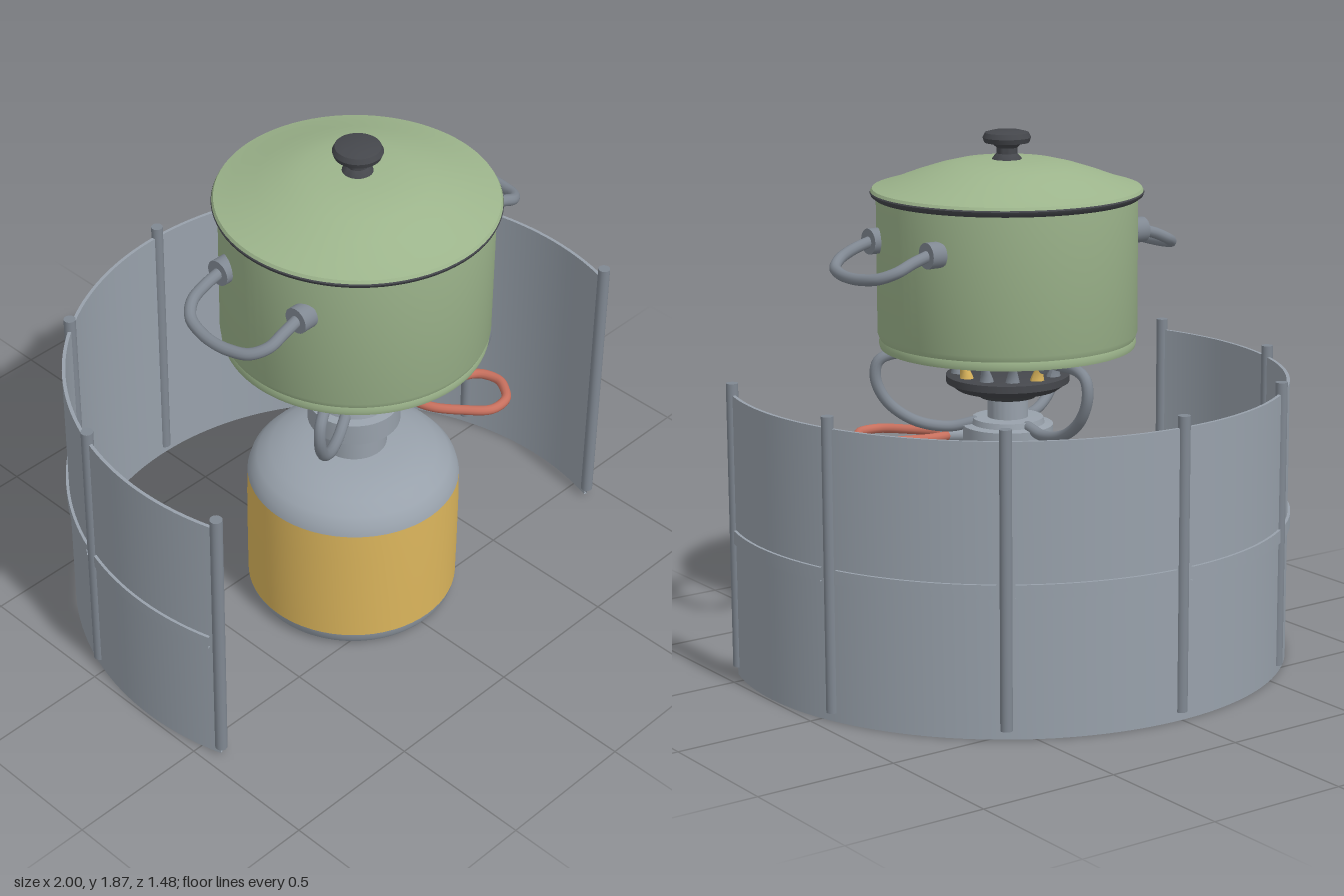
import * as THREE from 'three';
import { toCreasedNormals } from 'three/addons/utils/BufferGeometryUtils.js';

function mat(name, color, side = THREE.FrontSide) {
  const m = new THREE.MeshStandardMaterial({ color, side });
  m.name = name;
  return m;
}

export function createModel() {
  const steel = mat('steel', 0x98a1ab, THREE.DoubleSide);
  const darkSteel = mat('dark steel', 0x808892);
  const green = mat('green enamel', 0x9db58c);
  const black = mat('black', 0x45474c);
  const yellow = mat('yellow', 0xdbb55c);
  const red = mat('red wire', 0xc7705e);

  const model = new THREE.Group();
  model.name = 'campStove';
  // Everything is arranged around the burner axis
  const axis = new THREE.Group();
  axis.name = 'stoveAssembly';
  axis.position.z = 0.265;
  model.add(axis);

  const add = (name, geometry, material, parent = axis) => {
    const mesh = new THREE.Mesh(geometry, material);
    mesh.name = name;
    parent.add(mesh);
    return mesh;
  };
  // Turned part from [radius, height] pairs, listed bottom to top
  const turned = (name, pts, material, start = 0, length = Math.PI * 2, segments = 64) =>
    add(name, toCreasedNormals(new THREE.LatheGeometry(
      pts.map(([r, y]) => new THREE.Vector2(r, y)), segments, start, length), 0.6), material);
  const wire = (name, pts, radius, material, parent, closed = false) => {
    const path = pts.map(p => new THREE.Vector3(...p));
    const curve = new THREE.CatmullRomCurve3(path, closed);
    add(name, new THREE.TubeGeometry(curve, 56, radius, 12, closed), material, parent);
    // Rounded wire ends
    if (!closed) for (const p of [path[0], path[path.length - 1]]) {
      add(name + 'End', new THREE.SphereGeometry(radius, 12, 8), material, parent).position.copy(p);
    }
  };

  // Gas canister
  turned('canisterBase', [[0, 0.012], [0.31, 0.012], [0.325, 0], [0.35, 0.008], [0.364, 0.03], [0.37, 0.055]], steel);
  turned('canisterBody', [[0.37, 0.055], [0.371, 0.2], [0.371, 0.4], [0.369, 0.51]], yellow);
  turned('canisterShoulder', [[0.369, 0.51], [0.36, 0.54], [0.335, 0.57], [0.29, 0.6],
    [0.23, 0.623], [0.17, 0.636], [0.11, 0.642]], steel);

  // Valve, stem and burner head
  turned('canisterNeck', [[0.115, 0.63], [0.115, 0.72], [0.1, 0.73]], steel);
  turned('valveBody', [[0, 0.72], [0.13, 0.72], [0.14, 0.74], [0.16, 0.745], [0.16, 0.825],
    [0.13, 0.83], [0.125, 0.85], [0, 0.855]], steel);
  turned('burnerStem', [[0.072, 0.84], [0.072, 0.94]], steel);
  turned('burnerHead', [[0, 0.925], [0.1, 0.925], [0.12, 0.945], [0.18, 0.955], [0.2, 0.97],
    [0.217, 0.98], [0.217, 1.005], [0.2, 1.012], [0, 1.005]], black);

  // Ring of flames, leaning outwards, every third one yellow
  for (let i = 0; i < 12; i++) {
    const flame = new THREE.ConeGeometry(0.027, 0.105, 10, 6);
    const p = flame.attributes.position;
    for (let k = 0; k < p.count; k++) {
      const t = p.getY(k) / 0.105 + 0.5;
      p.setX(k, p.getX(k) + 0.06 * t * t + 0.175);
      p.setY(k, p.getY(k) + 1.056);
    }
    flame.computeVertexNormals();
    add('flame', flame, i % 3 === 0 ? yellow : darkSteel).rotation.y = i * Math.PI / 6;
  }

  // Three bent pot supports
  for (const deg of [-30, -150, 90]) {
    const arm = new THREE.Group();
    arm.name = 'potSupport';
    arm.rotation.y = THREE.MathUtils.degToRad(deg);
    axis.add(arm);
    wire('supportWire', [[0.12, 0.835, 0], [0.21, 0.82, 0], [0.33, 0.845, 0], [0.425, 0.915, 0],
      [0.465, 1, 0], [0.455, 1.06, 0], [0.41, 1.084, 0], [0.3, 1.086, 0], [0.235, 1.08, 0],
      [0.215, 1.06, 0]], 0.02, darkSteel, arm);
  }

  // Gas control: short spindle and red wire loop
  const control = new THREE.Group();
  control.name = 'gasControl';
  control.position.y = 0.785;
  control.rotation.y = THREE.MathUtils.degToRad(-35);
  axis.add(control);
  const spindle = add('controlSpindle', new THREE.CylinderGeometry(0.025, 0.025, 0.12, 16), steel, control);
  spindle.rotation.z = Math.PI / 2;
  spindle.position.x = 0.18;
  wire('controlLoop', [[0.21, 0, 0], [0.26, 0, 0.05], [0.36, 0, 0.085], [0.46, 0, 0.1], [0.52, 0, 0.055],
    [0.53, 0, 0], [0.52, 0, -0.055], [0.46, 0, -0.1], [0.36, 0, -0.085], [0.26, 0, -0.05]],
    0.017, red, control, true);

  // Pot, rim, lid and knob
  turned('pot', [[0, 1.115], [0.42, 1.11], [0.447, 1.11], [0.451, 1.125], [0.447, 1.14],
    [0.455, 1.16], [0.455, 1.645]], green, 0, Math.PI * 2, 80);
  turned('rim', [[0.44, 1.632], [0.46, 1.634], [0.472, 1.643], [0.476, 1.653], [0.47, 1.663],
    [0.44, 1.666]], black, 0, Math.PI * 2, 80);
  turned('lid', [[0.474, 1.658], [0.468, 1.668], [0.41, 1.685], [0.33, 1.715], [0.25, 1.741],
    [0.18, 1.758], [0.1, 1.764], [0, 1.766]], green, 0, Math.PI * 2, 80);
  turned('lidKnob', [[0.055, 1.755], [0.05, 1.77], [0.036, 1.785], [0.036, 1.805], [0.05, 1.818],
    [0.078, 1.823], [0.084, 1.84], [0.076, 1.857], [0.05, 1.864], [0, 1.865]], black, 0, Math.PI * 2, 32);

  // Drooping side handles with round mounts
  for (const s of [-1, 1]) {
    const handle = new THREE.Group();
    handle.name = s > 0 ? 'leftHandle' : 'rightHandle';
    axis.add(handle);
    for (const e of [-1, 1]) {
      const mount = add('handleMount', new THREE.CylinderGeometry(0.045, 0.045, 0.055, 24), darkSteel, handle);
      mount.rotation.z = Math.PI / 2;
      mount.position.set(s * 0.432, 1.497, e * 0.178);
    }
    const half = [[0.45, 1.497, 0.178], [0.515, 1.478, 0.18], [0.575, 1.452, 0.175], [0.622, 1.43, 0.135],
      [0.643, 1.42, 0.07]];
    const path = [...half, [0.65, 1.417, 0], ...half.map(([x, y, z]) => [x, y, -z]).reverse()];
    wire('handleWire', path.map(([x, y, z]) => [s * x, y, z]), 0.02, darkSteel, handle);
  }

  // Curved windscreen of six hinged panels, open at the front
  const rad = THREE.MathUtils.degToRad;
  const ring = (r0, r1, y0, y1) => [[r1, y0], [r1, y1], [r0, y1], [r0, y0], [r1, y0]];
  turned('windscreen', ring(0.978, 0.99, 0, 1), steel, rad(72), rad(216), 96);
  for (let i = 0; i < 7; i++) {
    const a = rad(72 + 36 * i);
    const rod = add('hingeRod', new THREE.CylinderGeometry(0.021, 0.021, 1.01, 16), darkSteel);
    rod.position.set(0.986 * Math.sin(a), 0.535, 0.986 * Math.cos(a));
    if (i < 6) turned('panelRib', ring(0.985, 1, 0.48, 0.527), steel, a + rad(1.8), rad(32.4), 16);
  }
  return model;
}
